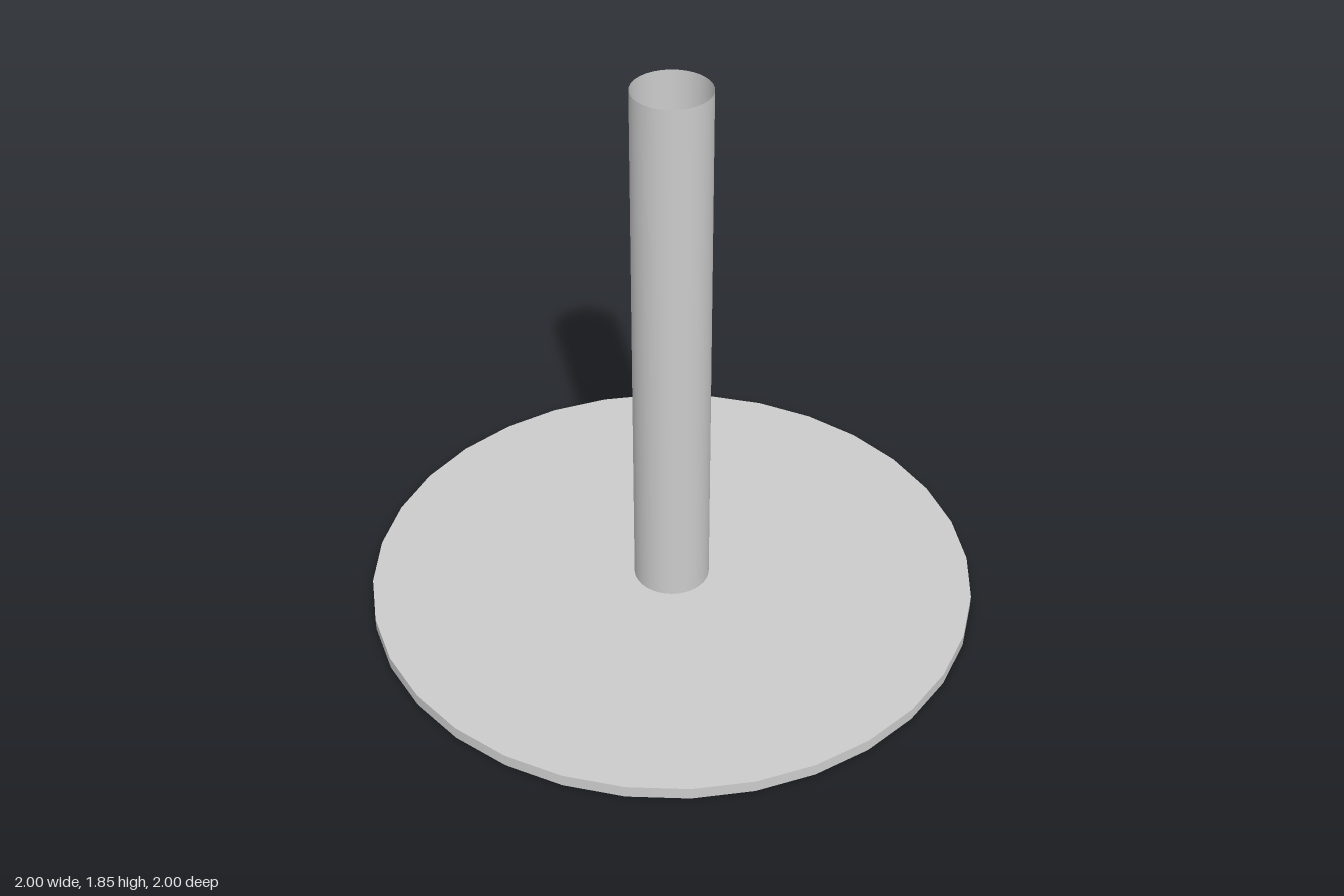
import * as THREE from 'three';

export function createModel() {
  const model = new THREE.Group();
  const baseHeight = 0.04, postTop = 1.85;

  // Thin round base plate
  const base = new THREE.Mesh(
    new THREE.CylinderGeometry(1, 1, baseHeight, 32),
    new THREE.MeshStandardMaterial({ color: 0xcccccc })
  );
  base.name = 'base';
  base.position.y = baseHeight / 2;

  // Upright hollow post, open at the top
  const postHeight = postTop - baseHeight;
  const post = new THREE.Mesh(
    new THREE.CylinderGeometry(0.125, 0.125, postHeight, 32, 1, true),
    new THREE.MeshStandardMaterial({ color: 0xcccccc, side: THREE.DoubleSide })
  );
  post.name = 'post';
  post.position.y = baseHeight + postHeight / 2;

  model.add(base, post);
  return model;
}
